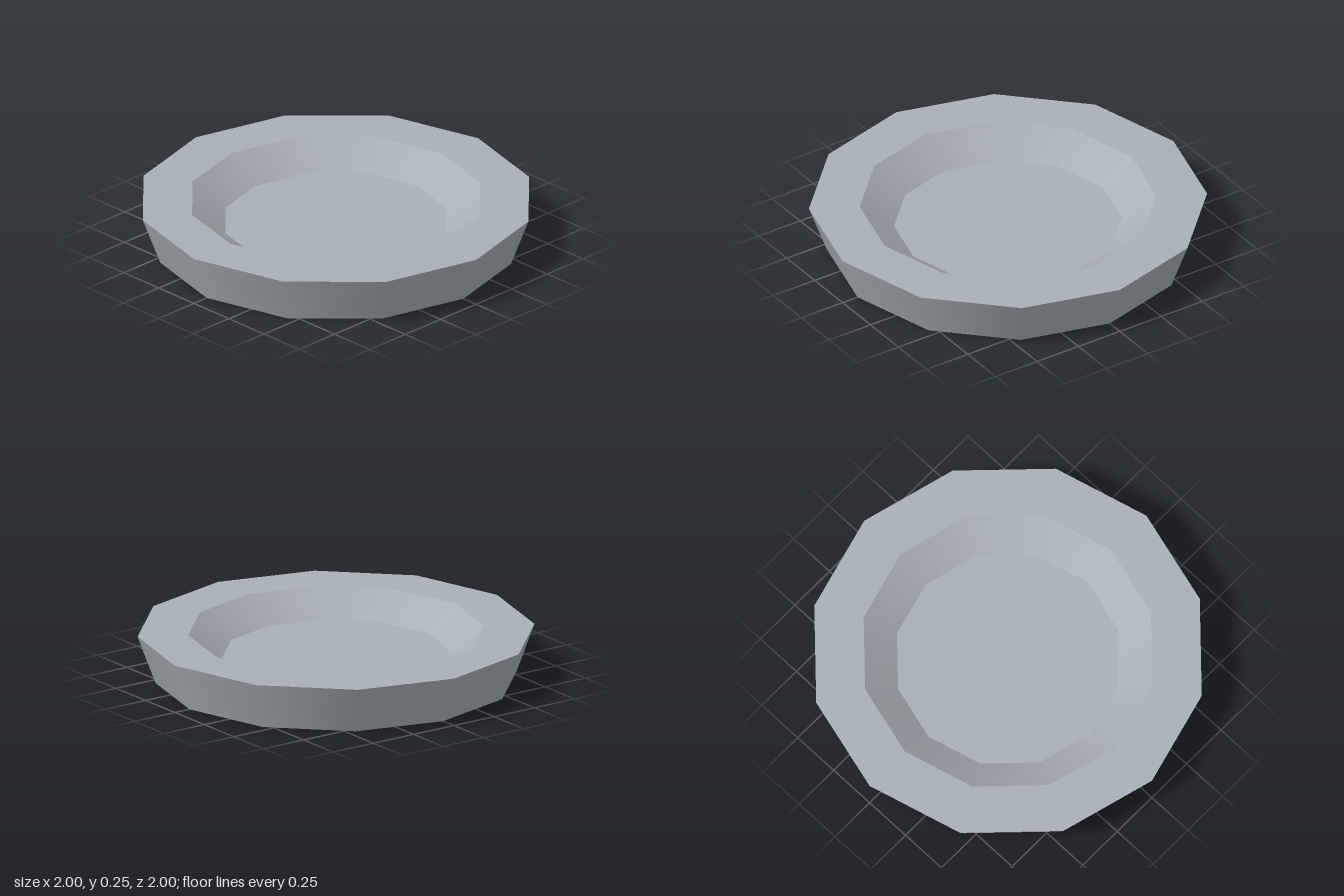
import * as THREE from 'three';

const SIDES = 12;

export function createModel() {
  const group = new THREE.Group();
  group.name = 'shallowDish';
  const greyStone = new THREE.MeshStandardMaterial({ color: 0xa9b0b7 });
  greyStone.name = 'grey stone';

  // Smooth around the dish; each band is its own lathe so the edges stay sharp
  const band = (name, r1, y1, r2, y2) => {
    const profile = [new THREE.Vector2(r1, y1), new THREE.Vector2(r2, y2)];
    const mesh = new THREE.Mesh(new THREE.LatheGeometry(profile, SIDES), greyStone);
    mesh.name = name;
    group.add(mesh);
  };

  // Flat twelve-sided plate, facing up or down
  const disc = (name, radius, y, up) => {
    const geometry = new THREE.CircleGeometry(radius, SIDES);
    geometry.rotateX(up ? -Math.PI / 2 : Math.PI / 2);
    const mesh = new THREE.Mesh(geometry, greyStone);
    mesh.name = name;
    mesh.position.y = y;
    group.add(mesh);
  };

  const height = 0.246, floorY = 0.123;
  disc('base', 0.91, 0, false);
  band('outerWall', 0.91, 0, 1, height);
  band('rim', 1, height, 0.745, height);
  band('innerWall', 0.745, height, 0.573, floorY);
  disc('wellFloor', 0.573, floorY, true);

  return group;
}
